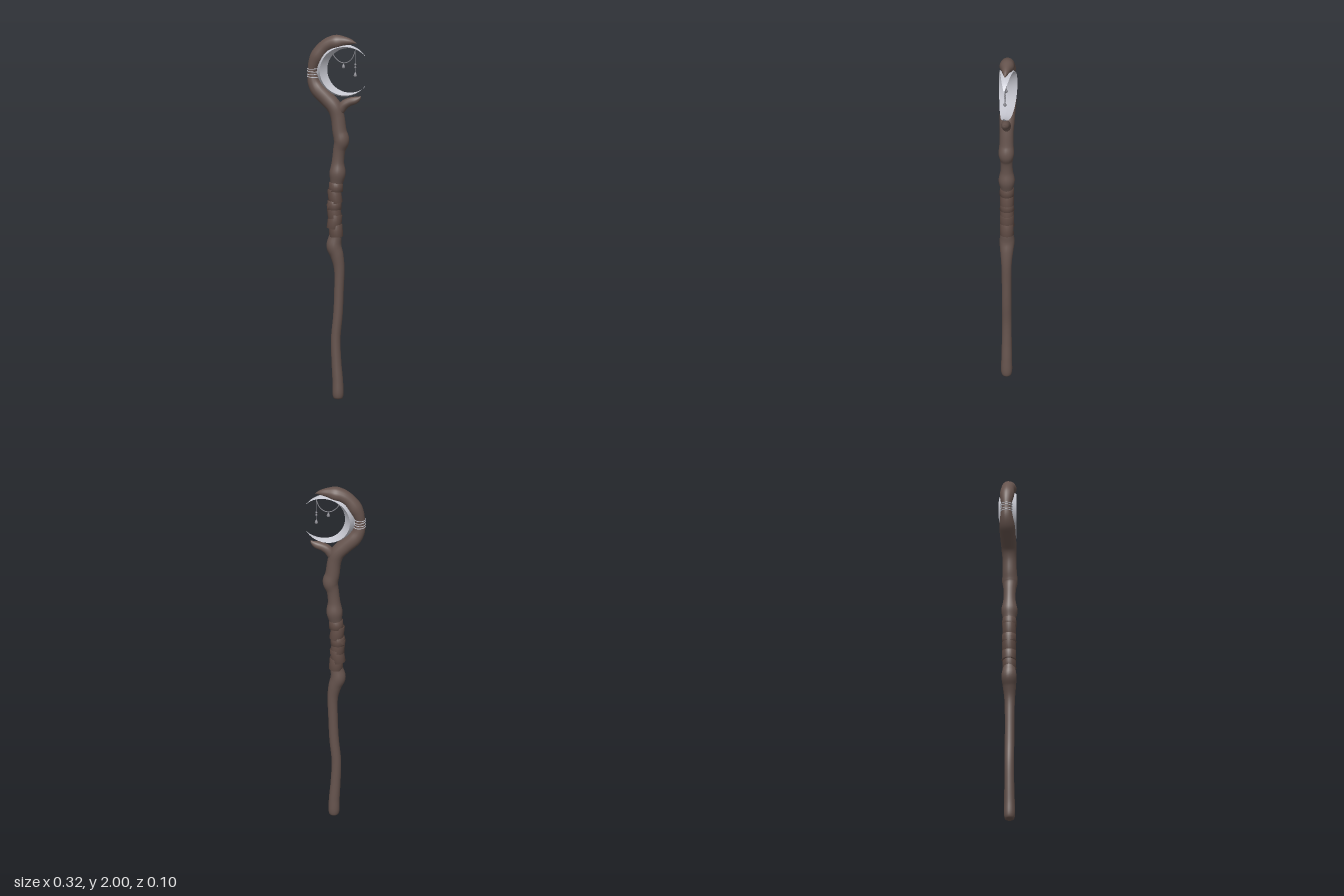
import * as THREE from 'three';

const mat = (name, color, side = THREE.FrontSide) => {
  const m = new THREE.MeshStandardMaterial({ color, side });
  m.name = name;
  return m;
};

// Skin between closed rings of points; sharp gives each lengthwise strip its own normals
function loft(rings, sharp = false) {
  const n = rings[0].length, pos = [], idx = [];
  const per = sharp ? 2 * n : n;
  for (const ring of rings) {
    ring.forEach((p, j) => {
      pos.push(...p);
      if (sharp) pos.push(...ring[(j + 1) % n]);
    });
  }
  for (let i = 0; i < rings.length - 1; i++) {
    for (let j = 0; j < n; j++) {
      const a = i * per + (sharp ? 2 * j : j);
      const b = i * per + (sharp ? 2 * j + 1 : (j + 1) % n);
      idx.push(a, b, b + per, a, b + per, a + per);
    }
  }
  const g = new THREE.BufferGeometry();
  g.setAttribute('position', new THREE.Float32BufferAttribute(pos, 3));
  g.setIndex(idx);
  g.computeVertexNormals();
  return g;
}

// Round limb along [x, y, radius] stations in the z = 0 plane
function limb(stations, steps, sides = 18) {
  const curve = new THREE.CatmullRomCurve3(stations.map(s => new THREE.Vector3(...s)), false, 'centripetal');
  const rings = [];
  for (let i = 0; i <= steps; i++) {
    const p = curve.getPoint(i / steps), t = curve.getTangent(i / steps);
    const l = Math.hypot(t.x, t.y) || 1, r = Math.max(p.z, 0.0005);
    rings.push(Array.from({ length: sides }, (_, j) => {
      const a = j / sides * Math.PI * 2, c = r * Math.cos(a);
      return [p.x - t.y / l * c, p.y + t.x / l * c, r * Math.sin(a)];
    }));
  }
  return loft(rings);
}

export function createModel() {
  const wood = mat('dark wood', 0x66544e);
  const leather = mat('leather', 0x604c45, THREE.DoubleSide);
  const silver = mat('silver', 0xc6c7d0);
  const metal = mat('dark silver', 0x85858c);
  const model = new THREE.Group();
  const add = (name, geometry, material, x = 0, y = 0, z = 0) => {
    const m = new THREE.Mesh(geometry, material);
    m.name = name;
    m.position.set(x, y, z);
    model.add(m);
    return m;
  };

  // Gnarled shaft that curls over into the hook
  add('shaft', limb([
    [0.005, 0, 0], [0.005, 0.003, 0.022], [0.005, 0.02, 0.029], [0.003, 0.1, 0.029],
    [-0.004, 0.2, 0.027], [-0.008, 0.33, 0.026], [0.004, 0.46, 0.026], [0.01, 0.6, 0.026],
    [0.011, 0.72, 0.029], [-0.002, 0.79, 0.036], [-0.018, 0.84, 0.041], [-0.01, 0.9, 0.034],
    [-0.016, 1.0, 0.032], [-0.014, 1.1, 0.031], [-0.004, 1.18, 0.034], [0.002, 1.24, 0.044],
    [0.004, 1.3, 0.034], [0.012, 1.37, 0.034], [0.024, 1.42, 0.042], [0.013, 1.47, 0.039],
    [0.002, 1.55, 0.038], [-0.015, 1.6, 0.041], [-0.06, 1.65, 0.042], [-0.105, 1.695, 0.042],
    [-0.13, 1.74, 0.034], [-0.136, 1.8, 0.027], [-0.127, 1.84, 0.033], [-0.108, 1.88, 0.039],
    [-0.075, 1.925, 0.036], [-0.04, 1.95, 0.037], [0, 1.961, 0.039], [0.04, 1.966, 0.026],
    [0.075, 1.964, 0.015], [0.108, 1.957, 0]
  ], 200), wood);

  // Short side twig under the crescent
  add('twig', limb([
    [0.002, 1.54, 0.012], [0.018, 1.585, 0.024], [0.037, 1.615, 0.025],
    [0.065, 1.633, 0.023], [0.1, 1.645, 0.02], [0.122, 1.658, 0.01], [0.13, 1.67, 0]
  ], 30, 14), wood);

  // Overlapping leather grip turns
  const turns = [
    [-0.007, 0.925, 0.07, 0.05], [-0.014, 0.975, 0.08, -0.12], [-0.017, 1.03, 0.09, 0.12],
    [-0.016, 1.065, 0.05, 0], [-0.013, 1.115, 0.08, 0.14], [-0.007, 1.165, 0.05, -0.04]
  ];
  turns.forEach(([x, y, h, tilt], i) => {
    const r = 0.037 + (i % 2) * 0.0015;
    const profile = [[0.03, -h / 2], [r + 0.001, -h / 2 + 0.002], [r, 0], [r - 0.001, h / 2 - 0.002], [0.03, h / 2]];
    add('gripTurn', new THREE.LatheGeometry(profile.map(p => new THREE.Vector2(...p)), 24), leather, x, y)
      .rotation.z = tilt;
  });

  // Crescent blade with a diamond section, tapering to both tips
  const rings = [];
  for (let i = 0; i <= 56; i++) {
    const t = i / 56, bulge = Math.sin(Math.PI * t);
    const a = (34 + 292 * t) * Math.PI / 180, b = (44 + 272 * t) * Math.PI / 180;
    const ox = 0.032 + 0.147 * Math.cos(a), oy = 1.807 + 0.145 * Math.sin(a);
    const ix = 0.067 + 0.122 * Math.cos(b), iy = 1.807 + 0.122 * Math.sin(b);
    const mx = (ox + ix) / 2, my = (oy + iy) / 2, z = 0.05 * Math.pow(Math.max(bulge, 0), 0.85);
    rings.push([[ox, oy, 0], [mx, my, -z], [ix, iy, 0], [mx, my, z]]);
  }
  add('crescent', loft(rings, true), silver);

  // Wire binding that ties the crescent to the hook
  [1.765, 1.78, 1.795, 1.81].forEach((y, i) => {
    const ring = add('bindingWire', new THREE.TorusGeometry(0.031, 0.0022, 6, 24), silver, -0.134, y);
    ring.rotation.set(Math.PI / 2, (i % 2 ? 1 : -1) * 0.06, 0);
  });
  for (const z of [-0.012, 0.012]) {
    const link = add('bindingLink', new THREE.CylinderGeometry(0.002, 0.002, 0.04, 6), silver, -0.105, 1.787, z);
    link.rotation.z = Math.PI / 2;
  }

  // Hanging chain with two drops
  const wire = (name, pts, r = 0.0028) => add(name, new THREE.TubeGeometry(
    new THREE.CatmullRomCurve3(pts.map(([x, y]) => new THREE.Vector3(x, y, 0))), 28, r, 6), metal);
  wire('chain', [[-0.03, 1.902], [-0.01, 1.872], [0.015, 1.852], [0.037, 1.847], [0.06, 1.853], [0.083, 1.874], [0.1, 1.915]]);
  wire('longStrand', [[0.1, 1.93], [0.1, 1.87], [0.1, 1.8]], 0.002);
  wire('shortStrand', [[0.035, 1.848], [0.035, 1.84], [0.035, 1.83]], 0.002);
  const drop = [[0, -0.013], [0.007, -0.01], [0.0095, -0.004], [0.007, 0.004], [0.002, 0.014], [0, 0.016]];
  for (const [x, y] of [[0.035, 1.828], [0.1, 1.784]]) {
    add('drop', new THREE.LatheGeometry(drop.map(p => new THREE.Vector2(...p)), 12), metal, x, y);
  }
  for (const [x, y] of [[0.1, 1.825], [0.1, 1.84]]) {
    add('bead', new THREE.SphereGeometry(0.006, 10, 8), metal, x, y);
  }

  return model;
}
